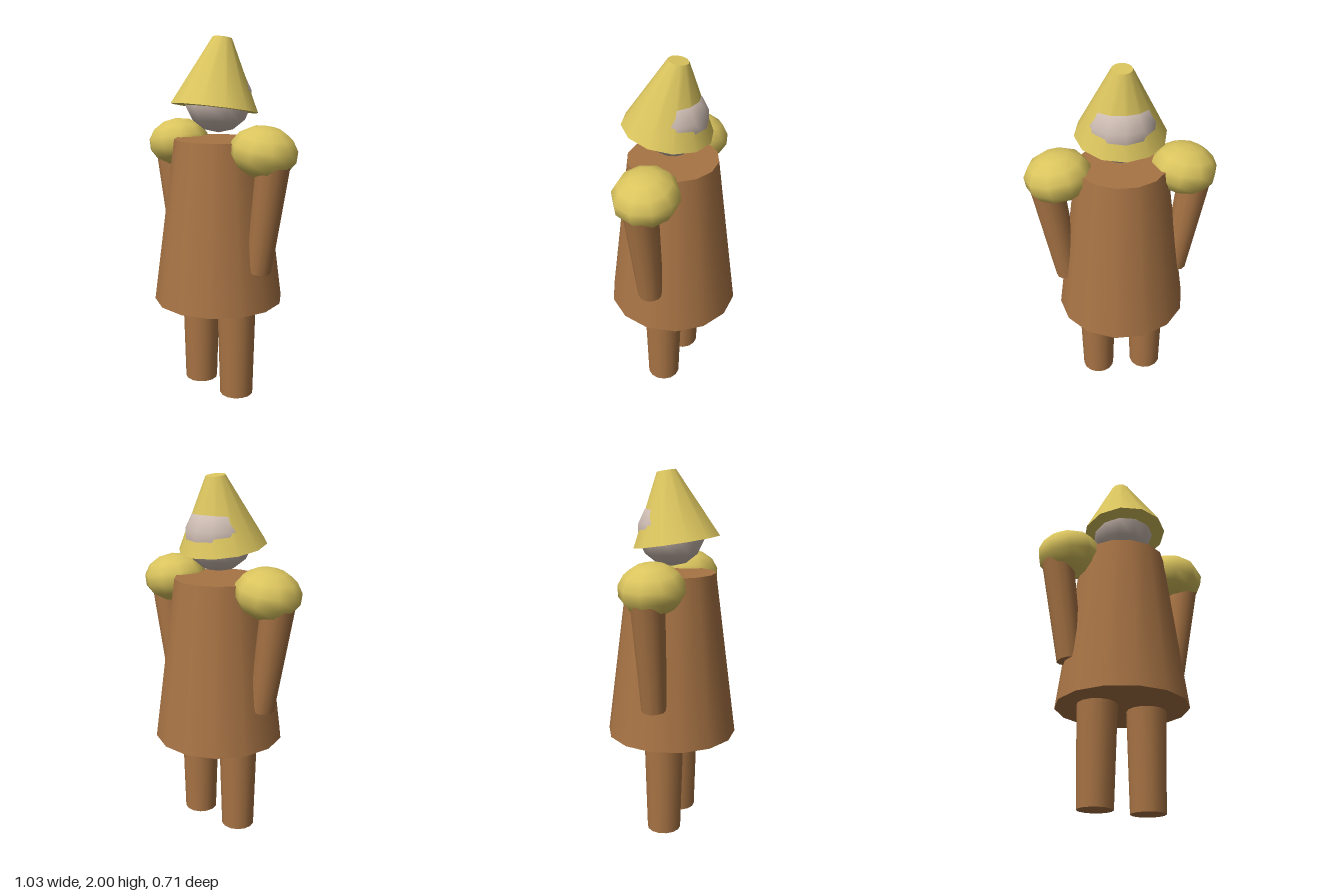
import * as THREE from 'three';

const yellow = new THREE.MeshStandardMaterial({ color: 0xdac45e });
yellow.name = 'straw yellow';
const brown = new THREE.MeshStandardMaterial({ color: 0xa87445 });
brown.name = 'coat brown';
const pale = new THREE.MeshStandardMaterial({ color: 0xcdbcb2 });
pale.name = 'pale skin';

export function createModel() {
  const model = new THREE.Group();
  model.name = 'figure';

  const add = (name, geometry, material, x, y, z = 0) => {
    const mesh = new THREE.Mesh(geometry, material);
    mesh.name = name;
    mesh.position.set(x, y, z);
    model.add(mesh);
    return mesh;
  };

  // Tapered cylinder whose axis runs between two points
  const limb = (name, bottom, top, rBottom, rTop, sides) => {
    const axis = top.clone().sub(bottom);
    const mid = bottom.clone().add(top).multiplyScalar(0.5);
    const geometry = new THREE.CylinderGeometry(rTop, rBottom, axis.length(), sides, 1, false, Math.PI / 2);
    const mesh = add(name, geometry, brown, mid.x, mid.y, mid.z);
    mesh.quaternion.setFromUnitVectors(new THREE.Vector3(0, 1, 0), axis.normalize());
  };

  // Flared coat
  add('coat', new THREE.CylinderGeometry(0.244, 0.364, 0.91, 14, 1, false, Math.PI / 2), brown, 0, 1.0);

  // Head, bulging slightly through the back of the hat
  add('head', new THREE.SphereGeometry(0.187, 12, 7), pale, 0, 1.677);

  // Cone hat with a blunt tip, tilted back
  const hat = add('hat', new THREE.CylinderGeometry(0.053, 0.241, 0.375, 12), yellow, 0, 1.807, 0.001);
  hat.rotation.x = -0.157;

  for (const [side, s] of [['left', 1], ['right', -1]]) {
    // Legs
    limb(side + 'Leg', new THREE.Vector3(s * 0.148, 0, 0), new THREE.Vector3(s * 0.145, 0.58, 0), 0.094, 0.11, 14);

    // Arms, leaning in towards the coat hem
    limb(side + 'Arm', new THREE.Vector3(s * 0.308, 0.768, 0), new THREE.Vector3(s * 0.4, 1.36, 0), 0.07, 0.09, 12);

    // Puffed shoulders
    const puff = add(side + 'Shoulder', new THREE.SphereGeometry(0.182, 10, 7), yellow, s * 0.334, 1.414);
    puff.scale.set(1, 0.74, 0.96);
    puff.rotation.z = -s * 0.17;
  }

  return model;
}
